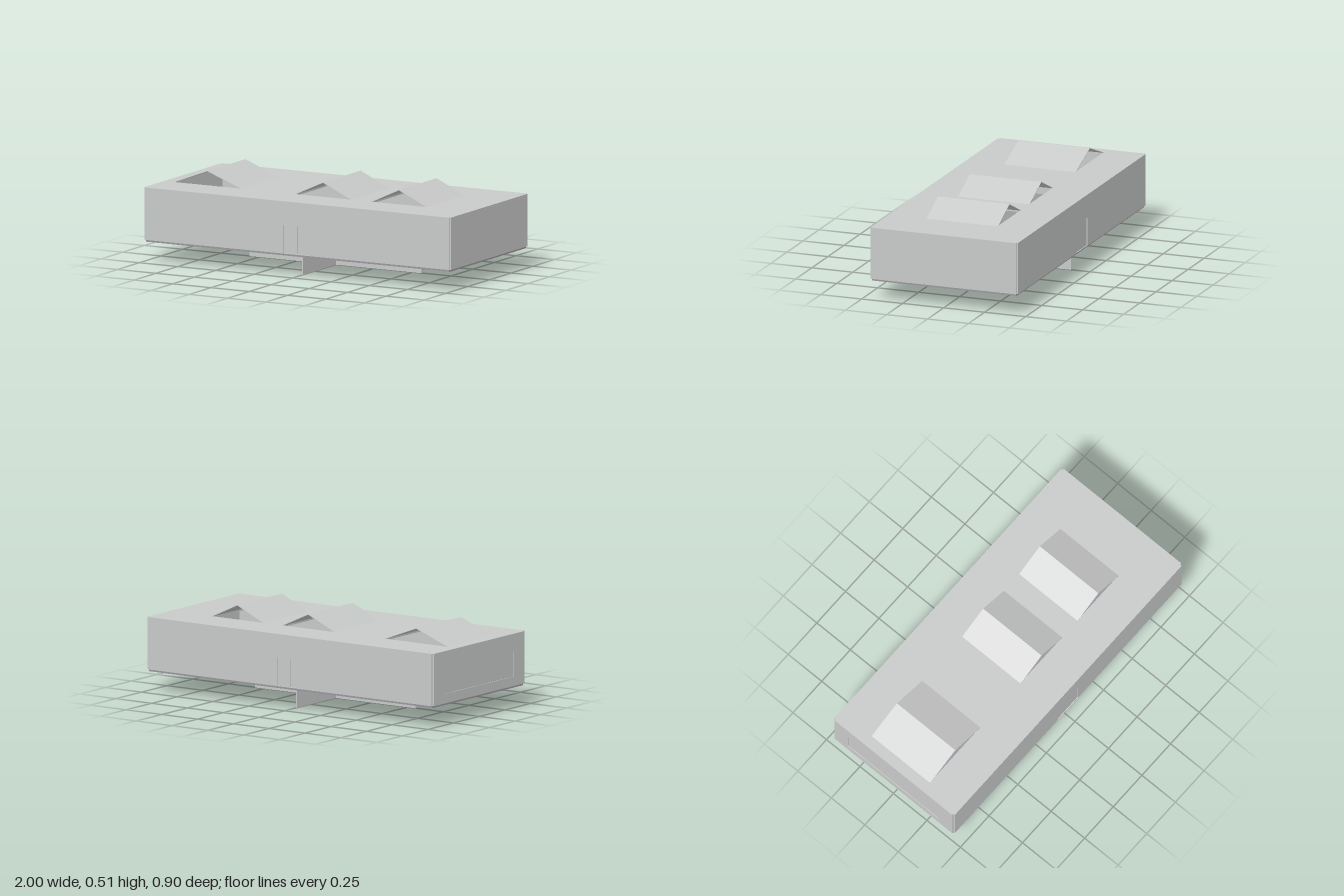
import * as THREE from 'three';

const grey = new THREE.MeshStandardMaterial({ color: 0xc8cac9 });
grey.name = 'pale grey';
const floorGrey = new THREE.MeshStandardMaterial({ color: 0x9a979e });
floorGrey.name = 'floor grey';

const WALL = 0.01, BOTTOM = 0.125, TOP = 0.427;

function box(name, x0, x1, y0, y1, z0, z1, material = grey) {
  const mesh = new THREE.Mesh(new THREE.BoxGeometry(x1 - x0, y1 - y0, z1 - z0), material);
  mesh.position.set((x0 + x1) / 2, (y0 + y1) / 2, (z0 + z1) / 2);
  mesh.name = name;
  return mesh;
}

function rectangle(Type, x0, x1, y0, y1) {
  const points = [[x0, y0], [x1, y0], [x1, y1], [x0, y1]];
  return new Type(points.map(([x, y]) => new THREE.Vector2(x, y)));
}

// Flat slab with rectangular openings, extruded along z
function slab(name, outline, openings, depth = WALL) {
  const shape = rectangle(THREE.Shape, ...outline);
  for (const o of openings) shape.holes.push(rectangle(THREE.Path, ...o));
  const mesh = new THREE.Mesh(new THREE.ExtrudeGeometry(shape, { depth, bevelEnabled: false }), grey);
  mesh.name = name;
  return mesh;
}

export function createModel() {
  const model = new THREE.Group();
  model.name = 'hall';

  // Floor plate
  model.add(box('floor', -0.99, 0.99, 0.113, BOTTOM, -0.44, 0.44, floorGrey));

  // Long walls with double doors set back in their openings
  const door = [-0.088, 0.085, BOTTOM + 0.004, 0.29];
  for (const side of [1, -1]) {
    const wall = slab(side > 0 ? 'frontWall' : 'backWall', [-0.99, 0.99, BOTTOM, TOP], [door]);
    wall.position.z = side > 0 ? 0.44 : -0.45;
    model.add(wall);
    const inner = side * 0.437, outer = side * 0.445;
    const [z0, z1] = [Math.min(inner, outer), Math.max(inner, outer)];
    model.add(box('doorLeafLeft', 0.001, door[1], door[2], door[3], z0, z1));
    model.add(box('doorLeafRight', door[0], -0.001, door[2], door[3], z0, z1));
  }

  // End walls, one with a wide shutter
  model.add(box('leftWall', 0.99, 1, BOTTOM, TOP, -0.44, 0.44));
  const rightWall = slab('rightWall', [-0.44, 0.44, BOTTOM, TOP], [[-0.34, 0.34, 0.18, 0.325]]);
  rightWall.rotation.y = -Math.PI / 2;
  rightWall.position.x = -0.99;
  model.add(rightWall);
  model.add(box('shutter', -0.996, -0.988, 0.18, 0.325, -0.34, 0.34));

  // Roof with an opening below each skylight
  const skylights = [[-0.935, -0.715, -0.495], [-0.145, 0.038, 0.22], [0.353, 0.533, 0.712]];
  const roof = slab('roof', [-0.99, 0.99, -0.44, 0.44],
    skylights.map(([x0, , x1]) => [x0 + 0.005, x1 - 0.005, -0.215, 0.215]));
  roof.rotation.x = -Math.PI / 2;
  roof.position.y = TOP - WALL;
  model.add(roof);

  // Folded skylight covers, open at both ends
  for (const [x0, peak, x1] of skylights) {
    const points = [[x0, TOP], [x0 + 0.008, TOP], [peak, 0.508], [x1 - 0.008, TOP], [x1, TOP], [peak, 0.511]];
    const shape = new THREE.Shape(points.map(([x, y]) => new THREE.Vector2(x, y)));
    const cover = new THREE.Mesh(new THREE.ExtrudeGeometry(shape, { depth: 0.436, bevelEnabled: false }), grey);
    cover.position.z = -0.218;
    cover.name = 'skylight';
    model.add(cover);
  }

  // Crossed fins and hub below the floor
  model.add(box('longFin', -0.56, 0.56, 0, 0.113, -0.006, 0.006));
  model.add(box('crossFin', -0.003, 0.003, 0, 0.113, -0.384, 0.384));
  model.add(box('hub', -0.055, 0.055, 0.07, 0.113, -0.055, 0.055));

  return model;
}
